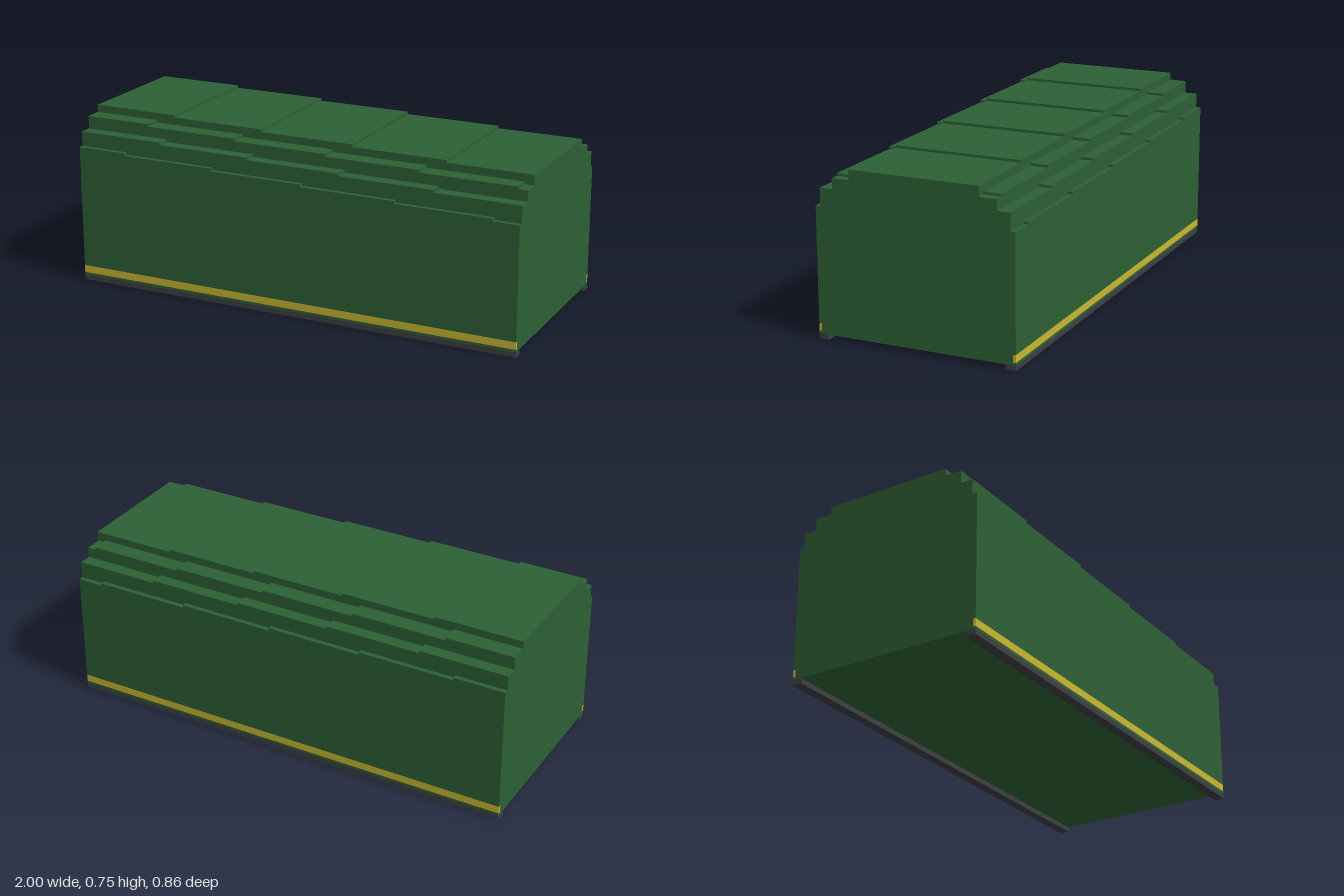
import * as THREE from 'three';

const green = new THREE.MeshStandardMaterial({ color: 0x2d6035 });
green.name = 'hull green';
const yellow = new THREE.MeshStandardMaterial({ color: 0xc8b832 });
yellow.name = 'stripe yellow';
const grey = new THREE.MeshStandardMaterial({ color: 0x3d3f42 });
grey.name = 'rail grey';

const PITCH = 0.416; // length of one roof tread
const DROP = 0.0107; // fall of each tread
const BASE = 0.065; // bottom of the stepped slices

// Box given by its y and z limits, running the full length
function bar(name, y0, y1, z0, z1, material) {
  const mesh = new THREE.Mesh(new THREE.BoxGeometry(2, y1 - y0, z1 - z0), material);
  mesh.position.set(0, (y0 + y1) / 2, (z0 + z1) / 2);
  mesh.name = name;
  return mesh;
}

// Lengthwise slice whose top steps down towards +x
function steppedSlice(name, z0, z1, top, firstStep) {
  const shape = new THREE.Shape();
  shape.moveTo(-1, BASE);
  shape.lineTo(1, BASE);
  const steps = [];
  for (let x = firstStep; x < 1; x += PITCH) steps.push(x);
  shape.lineTo(1, top - steps.length * DROP);
  for (let i = steps.length - 1; i >= 0; i--) {
    shape.lineTo(steps[i], top - (i + 1) * DROP);
    shape.lineTo(steps[i], top - i * DROP);
  }
  shape.lineTo(-1, top);
  shape.closePath();
  const geometry = new THREE.ExtrudeGeometry(shape, { depth: z1 - z0, bevelEnabled: false });
  geometry.translate(0, 0, z0);
  const mesh = new THREE.Mesh(geometry, green);
  mesh.name = name;
  return mesh;
}

export function createModel() {
  const group = new THREE.Group();
  group.name = 'steppedRoofBody';

  // Floor and central roof
  group.add(bar('floor', 0.022, BASE, -0.416, 0.416, green));
  group.add(steppedSlice('centreRoof', -0.278, 0.278, 0.75, -0.617));

  // Side slices: inner z, outer z, height at the tall end, first step
  const slices = [
    ['upperShoulder', 0.278, 0.352, 0.718, -0.703],
    ['lowerShoulder', 0.352, 0.407, 0.663, -0.617],
    ['sideWall', 0.407, 0.428, 0.6, -0.777],
  ];
  for (const side of [1, -1]) {
    const label = side > 0 ? 'front' : 'back';
    const span = (a, b) => (side > 0 ? [a, b] : [-b, -a]);
    for (const [name, a, b, top, first] of slices) {
      group.add(steppedSlice(`${label} ${name}`, ...span(a, b), top, first));
    }
    // Stripe, lip below it and ground rail
    group.add(bar(`${label} stripe`, 0.033, BASE, ...span(0.416, 0.428), yellow));
    group.add(bar(`${label} lip`, 0.022, 0.033, ...span(0.416, 0.428), green));
    group.add(bar(`${label} rail`, 0, 0.022, ...span(0.386, 0.428), grey));
  }
  return group;
}
